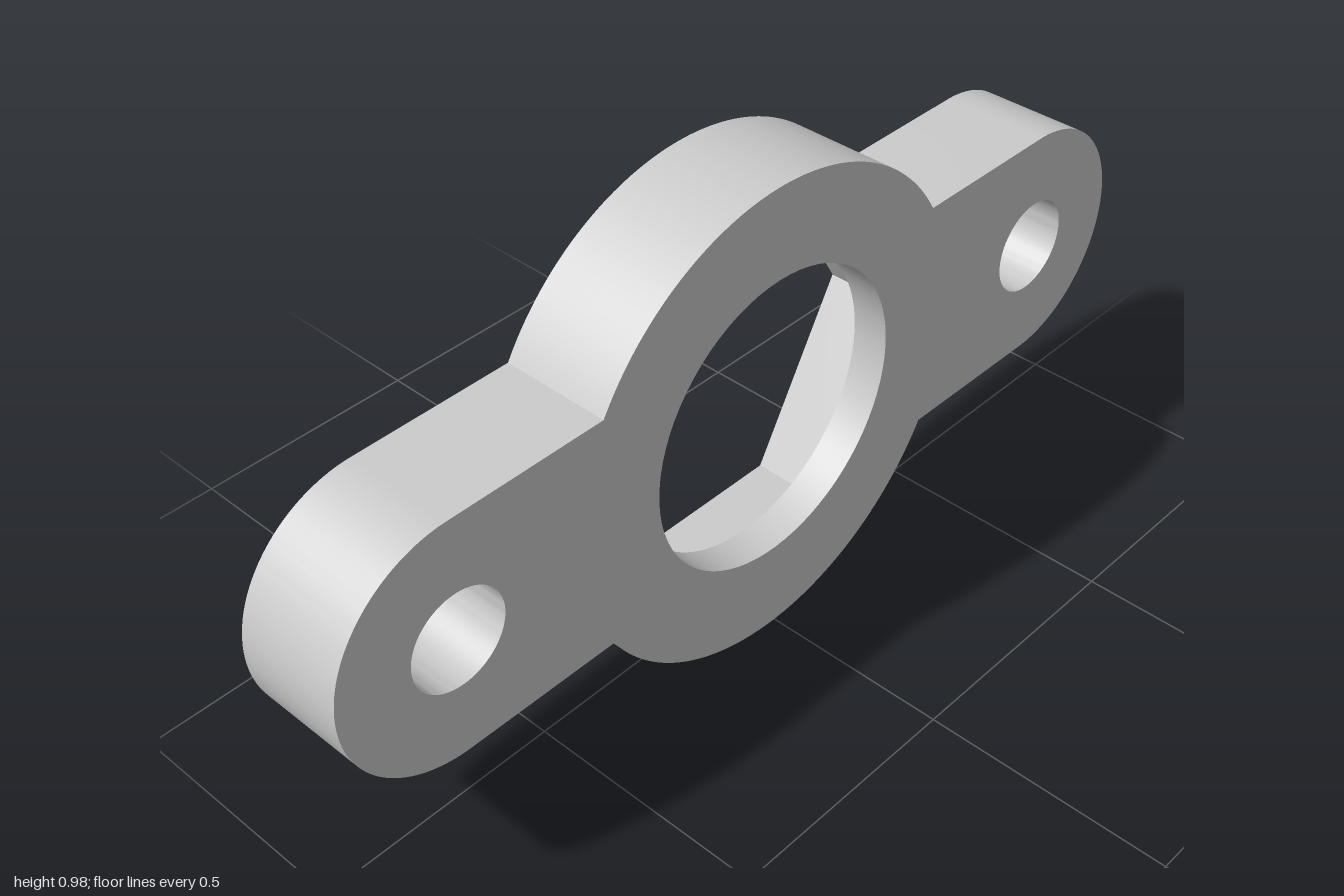
import * as THREE from 'three';
import { mergeGeometries, toCreasedNormals } from 'three/addons/utils/BufferGeometryUtils.js';

const RING = 0.4885, BORE = 0.302, HEX = 0.413;   // radii of the central ring, bore and hex pocket
const EAR = 0.247, EAR_X = 0.753, BOLT = 0.098;   // ear radius, ear centre, bolt hole radius
const FRONT = 0.112, BACK = -0.112, FLOOR = 0.037; // z of both faces and of the pocket floor
const SEG = 36;

const circle = (x, r) => new THREE.Path().absarc(x, 0, r, 0, Math.PI * 2);

function hexagon(PathType) {
  const points = [];
  for (let i = 0; i < 6; i++) {
    const a = i * Math.PI / 3;
    points.push(new THREE.Vector2(HEX * Math.cos(a), HEX * Math.sin(a)));
  }
  const hex = new PathType(points);
  hex.closePath();
  return hex;
}

// Ring with a rounded ear on each side
function outline() {
  const a = Math.asin(EAR / RING), P = Math.PI;
  const s = new THREE.Shape();
  s.absarc(EAR_X, 0, EAR, -P / 2, P / 2);
  s.absarc(0, 0, RING, a, P - a);
  s.absarc(-EAR_X, 0, EAR, P / 2, 1.5 * P);
  s.absarc(0, 0, RING, P + a, 2 * P - a);
  s.closePath();
  return s;
}

// Flat face at depth z, facing the front or the back
function face(shape, holes, z, toBack) {
  shape.holes.push(...holes);
  const g = new THREE.ShapeGeometry(shape, SEG).toNonIndexed();
  g.deleteAttribute('uv');
  if (toBack) g.rotateY(Math.PI);
  return g.translate(0, 0, z);
}

// Wall along a counterclockwise path; inward for holes
function wall(path, z0, z1, inward) {
  const pts = path.getPoints(SEG), v = [];
  pts.forEach((a, i) => {
    const b = pts[(i + 1) % pts.length];
    if (a.distanceTo(b) < 1e-6) return;
    const [p, q] = inward ? [b, a] : [a, b];
    v.push(p.x, p.y, z0, q.x, q.y, z0, q.x, q.y, z1);
    v.push(p.x, p.y, z0, q.x, q.y, z1, p.x, p.y, z1);
  });
  const g = new THREE.BufferGeometry();
  g.setAttribute('position', new THREE.Float32BufferAttribute(v, 3));
  g.computeVertexNormals();
  return g;
}

export function createModel() {
  const bolts = [circle(EAR_X, BOLT), circle(-EAR_X, BOLT)];
  const bore = circle(0, BORE);
  const material = new THREE.MeshStandardMaterial({ color: 0xcccccc });
  const group = new THREE.Group();
  group.name = 'flangeBracket';

  const add = (name, parts) => {
    const mesh = new THREE.Mesh(toCreasedNormals(mergeGeometries(parts), 0.5), material);
    mesh.name = name;
    mesh.position.y = RING;
    group.add(mesh);
  };

  // Plate body: outer wall with front and back faces
  add('flangeBody', [
    wall(outline(), BACK, FRONT, false),
    face(outline(), [bore, ...bolts], FRONT, false),
    face(outline(), [hexagon(THREE.Path), ...bolts], BACK, true),
  ]);
  // Hexagonal nut pocket in the back, with its floor
  add('hexPocket', [
    wall(hexagon(THREE.Path), BACK, FLOOR, true),
    face(hexagon(THREE.Shape), [bore], FLOOR, true),
  ]);
  // Round bore through the front
  add('centreBore', [wall(bore, FLOOR, FRONT, true)]);
  // Bolt holes through the ears
  bolts.forEach((b, i) => add(i ? 'rightBoltHole' : 'leftBoltHole', [wall(b, BACK, FRONT, true)]));

  return group;
}
